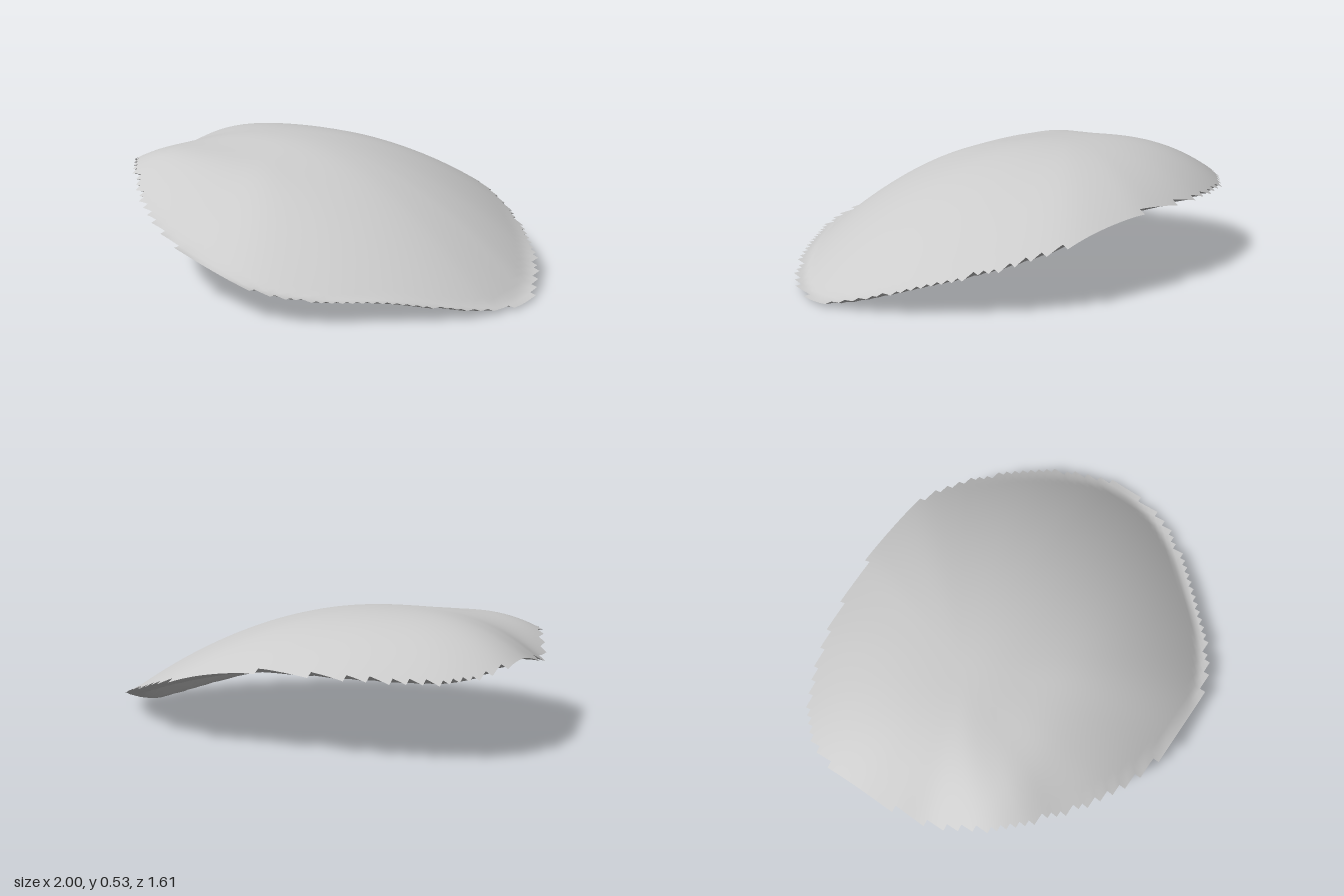
import * as THREE from 'three';

// Rim of the shell: x, height, z, running round from the low tip
const RIM = [
  [0.995, 0.01, -0.08], [0.985, 0.012, 0.03], [0.95, 0.025, 0.14], [0.85, 0.055, 0.3],
  [0.7, 0.088, 0.47], [0.52, 0.1, 0.65], [0.25, 0.135, 0.795], [-0.12, 0.215, 0.795],
  [-0.4, 0.3, 0.71], [-0.6, 0.36, 0.59], [-0.75, 0.41, 0.47], [-0.86, 0.415, 0.35],
  [-0.95, 0.35, 0.14], [-0.988, 0.36, -0.03], [-0.995, 0.385, -0.2], [-0.985, 0.37, -0.36],
  [-0.88, 0.335, -0.55], [-0.55, 0.34, -0.715], [-0.25, 0.345, -0.775], [-0.04, 0.335, -0.793],
  [0.29, 0.265, -0.793], [0.55, 0.19, -0.67], [0.8, 0.11, -0.45], [0.96, 0.035, -0.22],
];
const PEAK = { x: -0.35, y: 0.535, z: -0.1 };
const TAU = Math.PI * 2;
const { clamp, lerp, smoothstep } = THREE.MathUtils;

// Rim radius and height as seen from the peak, tabulated by angle
function makeRimLookup() {
  const curve = new THREE.CatmullRomCurve3(RIM.map(p => new THREE.Vector3(...p)), true);
  const samples = curve.getPoints(480).map(p => {
    const dx = p.x - PEAK.x, dz = p.z - PEAK.z;
    return { a: (Math.atan2(dz, dx) + TAU) % TAU, r: Math.hypot(dx, dz), y: p.y };
  }).slice(0, -1).sort((p, q) => p.a - q.a);
  const first = samples[0], last = samples[samples.length - 1];
  samples.unshift({ ...last, a: last.a - TAU });
  samples.push({ ...first, a: first.a + TAU });
  return angle => {
    const k = Math.max(1, samples.findIndex(s => s.a >= angle));
    const p = samples[k - 1], q = samples[k];
    const f = (angle - p.a) / (q.a - p.a || 1);
    return { r: lerp(p.r, q.r, f), y: lerp(p.y, q.y, f) };
  };
}

const hump = (x, z, cx, cz, wx, wz) => Math.exp(-(((x - cx) / wx) ** 2) - ((z - cz) / wz) ** 2);

// Heights of the domed top and of the hollow underside at a point
function makeSurface() {
  const rim = makeRimLookup();
  return (x, z) => {
    const dx = x - PEAK.x, dz = z - PEAK.z;
    const angle = (Math.atan2(dz, dx) + TAU) % TAU;
    const edge = rim(angle);
    const t = Math.hypot(dx, dz) / edge.r;

    // the low front corner flattens into a narrow brim
    const brim = clamp(1.6 * Math.cos(angle - 0.7) - 0.4, 0, 1);
    const reach = lerp(t, Math.min(1, t / 0.97), brim);
    const power = 2.43 - 0.38 * Math.cos(angle) + 0.1 * Math.sin(angle);
    let top = PEAK.y - (PEAK.y - edge.y) * Math.pow(reach, power);

    // groove and neighbouring ridge on the high side
    top -= 0.014 * hump(x, z, -0.4, 0.18, 0.5, 0.16);
    top -= 0.012 * hump(x, z, -0.95, 0.13, 0.16, 0.11);
    top += 0.012 * hump(x, z, -0.65, 0.38, 0.22, 0.13);
    top = Math.max(0, top);

    // underside follows the top closely, with a lip turned in at the rim
    const inner = top - 0.012;
    const lip = Math.min(inner, edge.y - 0.01);
    const under = Math.max(0, lerp(inner, lip, smoothstep(t, 0.89, 0.94)));
    return { t, top, under };
  };
}

export function createModel() {
  const surface = makeSurface();
  const NX = 71, NZ = 57, cell = 2 / NX;
  const px = i => (i - NX / 2) * cell;
  const pz = j => (j - NZ / 2) * cell;

  // Square cells inside the rim leave a stepped, toothed edge
  const filled = new Set();
  for (let i = 0; i < NX; i++) {
    for (let j = 0; j < NZ; j++) {
      if (surface(px(i + 0.5), pz(j + 0.5)).t <= 1) filled.add(i * 1000 + j);
    }
  }
  const onRim = (i, j) => [[0, 0], [1, 0], [0, 1], [1, 1]]
    .some(([a, b]) => !filled.has((i - a) * 1000 + j - b));

  // One layer of the shell; the two layers meet along the rim
  function makeLayer(height, faceUp) {
    const positions = [], index = [], ids = new Map();
    const vertex = (i, j) => {
      const key = i * 1000 + j;
      if (!ids.has(key)) {
        ids.set(key, positions.length / 3);
        positions.push(px(i), height(surface(px(i), pz(j)), onRim(i, j)), pz(j));
      }
      return ids.get(key);
    };
    for (const key of filled) {
      const i = Math.floor(key / 1000), j = key % 1000;
      const a = vertex(i, j), b = vertex(i, j + 1);
      const c = vertex(i + 1, j), d = vertex(i + 1, j + 1);
      if (faceUp) index.push(a, b, c, c, b, d);
      else index.push(a, c, b, c, d, b);
    }
    const geometry = new THREE.BufferGeometry();
    geometry.setAttribute('position', new THREE.Float32BufferAttribute(positions, 3));
    geometry.setIndex(index);
    geometry.computeVertexNormals();
    return geometry;
  }

  const grey = new THREE.MeshStandardMaterial({ color: 0xcccccc });
  grey.name = 'shell grey';
  const top = new THREE.Mesh(makeLayer(s => s.top, true), grey);
  top.name = 'domedTop';
  const under = new THREE.Mesh(makeLayer((s, rim) => (rim ? s.top : s.under), false), grey);
  under.name = 'hollowUnderside';

  const group = new THREE.Group();
  group.name = 'shell';
  group.add(top, under);
  return group;
}
